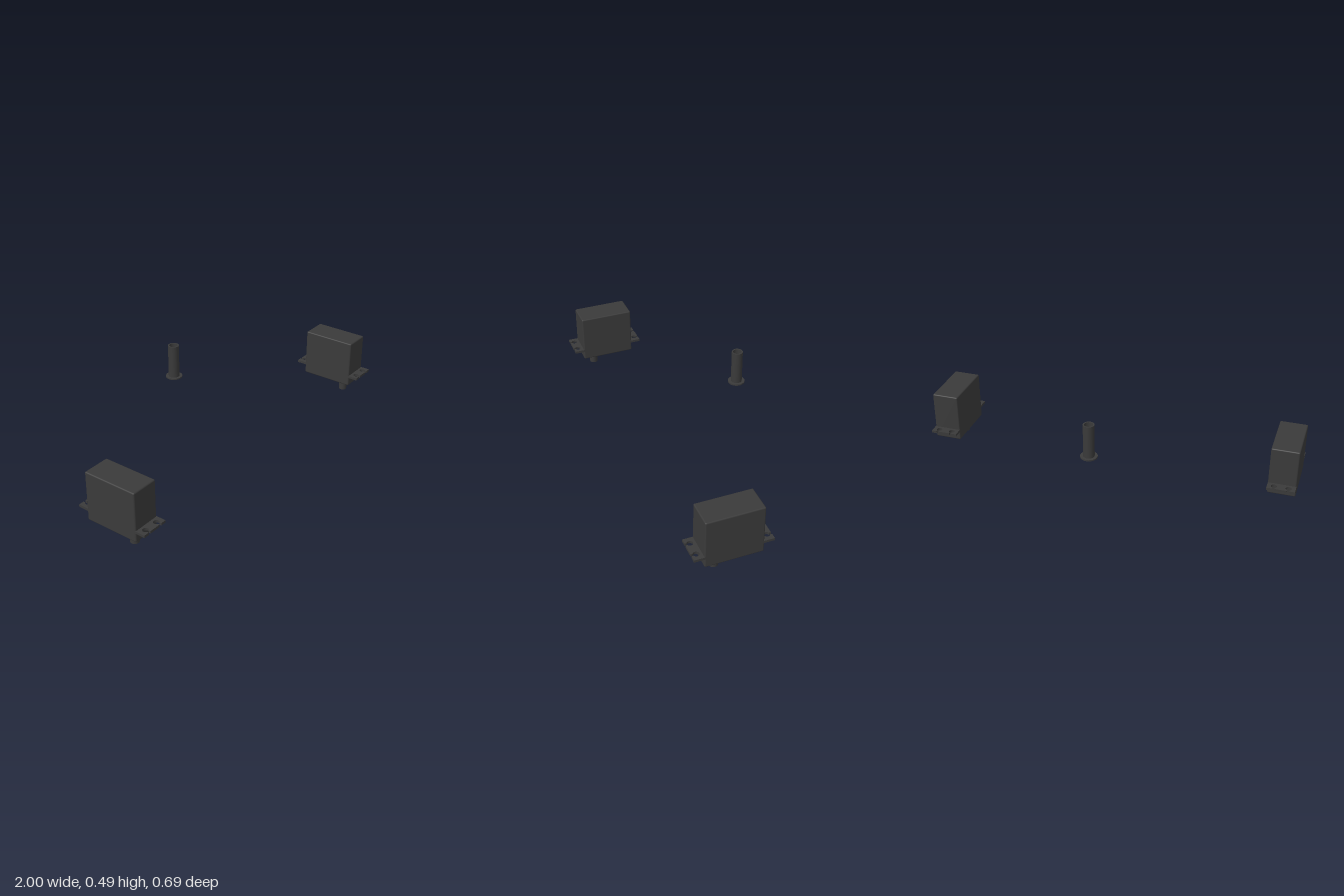
import * as THREE from 'three';
import { RoundedBoxGeometry } from 'three/addons/geometries/RoundedBoxGeometry.js';

const darkPlastic = new THREE.MeshStandardMaterial({ color: 0x3a3a3a });
darkPlastic.name = 'darkPlastic';

function part(name, geometry, x = 0, y = 0, z = 0) {
  const mesh = new THREE.Mesh(geometry, darkPlastic);
  mesh.name = name;
  mesh.position.set(x, y, z);
  return mesh;
}

// Mounting tab with two keyhole slots open to its outer edge
function tabGeometry() {
  const halfWidth = 0.0725, inner = 0.14, edge = 0.198;
  const radius = 0.015, slot = 0.006, spread = Math.acos(Math.sqrt(1 - (slot / radius) ** 2));
  const shape = new THREE.Shape();
  shape.moveTo(-halfWidth, inner);
  shape.lineTo(-halfWidth, edge);
  for (const cx of [-0.037, 0.037]) {
    shape.lineTo(cx - slot, edge);
    shape.absarc(cx, edge - 0.024, radius, Math.PI / 2 + spread, Math.PI * 2.5 - spread, false);
    shape.lineTo(cx + slot, edge);
  }
  shape.lineTo(halfWidth, edge);
  shape.lineTo(halfWidth, inner);
  shape.closePath();
  const geometry = new THREE.ExtrudeGeometry(shape, { depth: 0.013, bevelEnabled: false, curveSegments: 20 });
  return geometry.rotateX(Math.PI / 2);
}

// Servo motor, with its output shaft pointing down
function servo(name, x) {
  const group = new THREE.Group();
  group.name = name;
  group.position.set(x, 0, 0.1465);
  group.add(part('servoBody', new RoundedBoxGeometry(0.145, 0.263, 0.293, 3, 0.007), 0, 0.1995, 0));
  const tab = tabGeometry();
  group.add(part('frontTab', tab, 0, 0.131, 0));
  const backTab = part('backTab', tab, 0, 0.131, 0);
  backTab.rotation.y = Math.PI;
  group.add(backTab);
  group.add(part('outputShaft', new THREE.CylinderGeometry(0.022, 0.022, 0.08, 32), 0, 0.04, 0.0725));
  return group;
}

// Hollow flanged bushing: each profile edge is lathed apart so corners stay crisp
function bushing() {
  const group = new THREE.Group();
  group.name = 'bushing';
  group.position.set(0, 0.301, -0.299);
  const bore = 0.022, tube = 0.029, flange = 0.044, lip = 0.007, top = 0.185;
  const profile = [[bore, 0], [flange, 0], [flange, lip], [tube, lip], [tube, top], [bore, top], [bore, 0]];
  const names = ['flangeBottom', 'flangeRim', 'flangeTop', 'tubeWall', 'tubeTop', 'bore'];
  names.forEach((name, i) => {
    const points = [profile[i], profile[i + 1]].map(([r, y]) => new THREE.Vector2(r, y));
    group.add(part(name, new THREE.LatheGeometry(points, 40)));
  });
  return group;
}

export function createModel() {
  const model = new THREE.Group();
  model.name = 'servoPair';
  model.add(servo('rightServo', -0.9275), servo('leftServo', 0.9275), bushing());
  return model;
}
